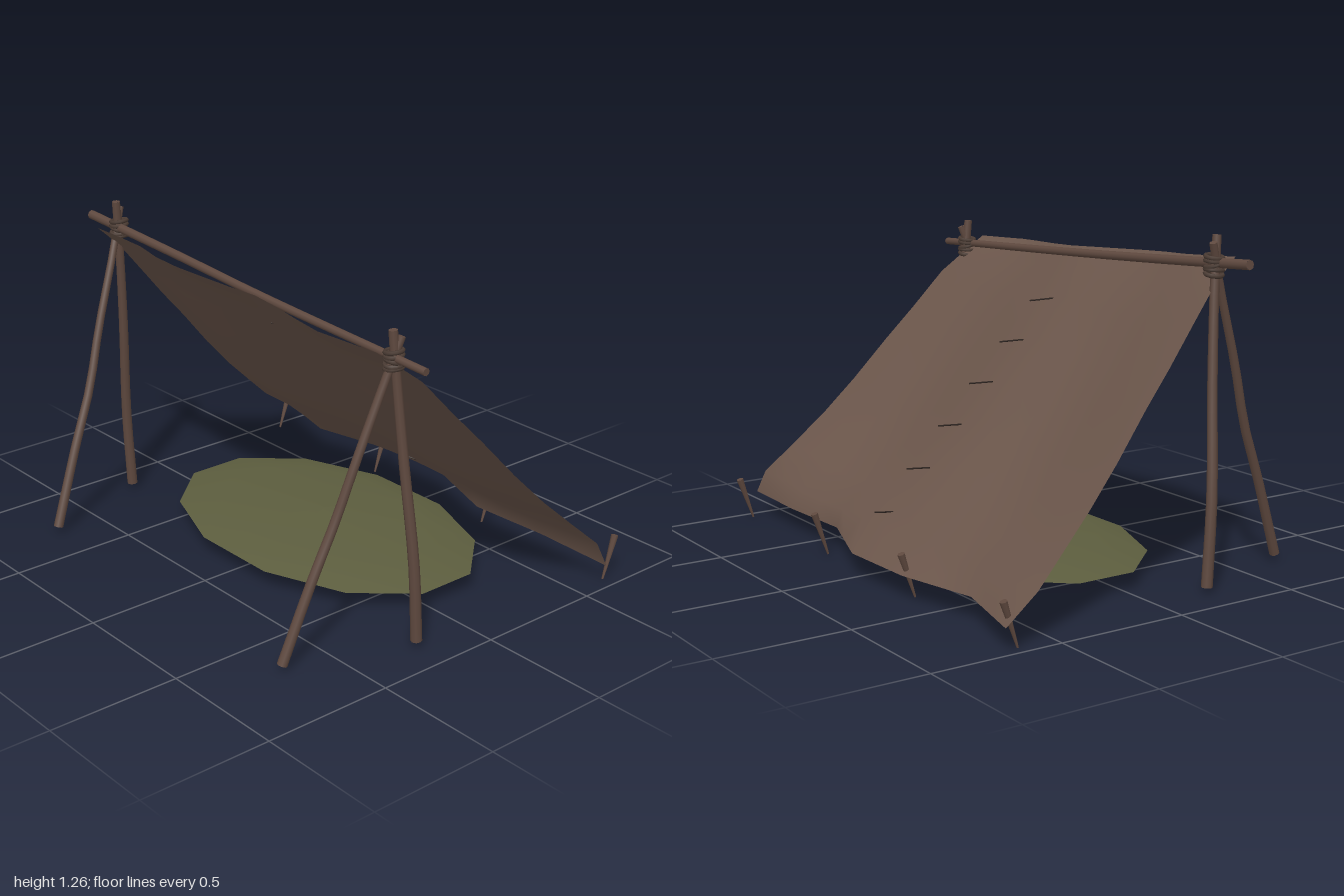
import * as THREE from 'three';

const mat = (name, color, side = THREE.FrontSide) => {
  const m = new THREE.MeshStandardMaterial({ color, side });
  m.name = name;
  return m;
};
const V = (p) => new THREE.Vector3(...p);

export function createModel() {
  const wood = mat('wood', 0x5f493f);
  const cloth = mat('cloth', 0x6a554a, THREE.DoubleSide);
  const rope = mat('rope', 0x4a3b33);
  const thread = mat('thread', 0x2b221e);
  const moss = mat('bedding', 0x5c5d3e);

  const model = new THREE.Group();
  model.name = 'leanToShelter';
  const add = (name, geo, material, parent = model) => {
    const mesh = new THREE.Mesh(geo, material);
    mesh.name = name;
    parent.add(mesh);
    return mesh;
  };

  // Tapered, slightly bent pole with flat end caps
  const pole = (name, points, r0, r1, sides = 8) => {
    const group = new THREE.Group();
    group.name = name;
    model.add(group);
    const curve = new THREE.CatmullRomCurve3(points.map(V));
    const steps = 12;
    const geo = new THREE.TubeGeometry(curve, steps, 1, sides);
    const pos = geo.attributes.position;
    const v = new THREE.Vector3();
    for (let i = 0; i <= steps; i++) {
      const c = curve.getPointAt(i / steps);
      const r = r0 + (r1 - r0) * i / steps;
      for (let j = 0; j <= sides; j++) {
        const k = i * (sides + 1) + j;
        v.fromBufferAttribute(pos, k).sub(c).multiplyScalar(r).add(c);
        pos.setXYZ(k, v.x, v.y, v.z);
      }
    }
    add('shaft', geo, wood, group);
    for (const [t, r, s] of [[0, r0, -1], [1, r1, 1]]) {
      const cap = add('endCap', new THREE.CircleGeometry(r, sides), wood, group);
      cap.position.copy(curve.getPointAt(t));
      cap.quaternion.setFromUnitVectors(V([0, 0, 1]), curve.getTangentAt(t).multiplyScalar(s));
    }
  };

  // Straight rod between two points
  const rod = (name, a, b, ra, rb, sides, material) => {
    const d = V(b).sub(V(a));
    const mesh = add(name, new THREE.CylinderGeometry(rb, ra, d.length(), sides), material);
    mesh.position.copy(V(a).add(V(b)).multiplyScalar(0.5));
    mesh.quaternion.setFromUnitVectors(V([0, 1, 0]), d.normalize());
  };

  // Leg pairs with lashings; the left pair is a little shorter
  for (const [s, k, knotY, label] of [[-1, 1, 1.148, 'right'], [1, 0.928, 1.06, 'left']]) {
    pole(label + 'UprightLeg', [[0.86, 0.02, 0.228], [0.857, 0.34, 0.245], [0.82, 0.75, 0.268],
      [0.797, 1.08, 0.288], [0.79, 1.255, 0.3]].map(([x, y, z]) => [s * x, y * k + 0.02 * (1 - k), z]), 0.021, 0.016);
    pole(label + 'FrontLeg', [[0.695, 0.025, 0.697], [0.717, 0.34, 0.582], [0.733, 0.55, 0.497],
      [0.757, 0.78, 0.425], [0.783, 1.07, 0.325], [0.803, 1.23, 0.273]].map(([x, y, z]) => [s * x, y * k, z]), 0.019, 0.014);
    const lashing = new THREE.Group();
    lashing.name = label + 'Lashing';
    lashing.position.set(s * 0.787, knotY, 0.292);
    model.add(lashing);
    for (let i = 0; i < 5; i++) {
      const ring = add('ropeCoil', new THREE.TorusGeometry(0.031, 0.008, 6, 14), rope, lashing);
      ring.position.y = (i - 2) * 0.015;
      ring.rotation.set(Math.PI / 2 + 0.15 * Math.sin(i * 2.3), 0.18 * Math.cos(i * 1.7), 0);
    }
  }

  // Ridge pole
  pole('ridgePole', [[-0.96, 1.167, 0.303], [-0.4, 1.133, 0.298], [0.1, 1.105, 0.304], [0.95, 1.065, 0.3]], 0.018, 0.014);

  // Cloth sheet: rows of [z, y, half width], with ragged front and back edges
  const frontZ = [0.395, 0.385, 0.38, 0.4, 0.4, 0.385, 0.37, 0.35, 0.36, 0.38, 0.395, 0.38, 0.365];
  const backZ = [-0.72, -0.635, -0.705, -0.715, -0.595, -0.61, -0.6];
  const rows = [[0.39, 1.135, 0.78], [0.29, 1.055, 0.795], [0.185, 0.95, 0.815], [0.06, 0.805, 0.84],
    [-0.06, 0.675, 0.863], [-0.2, 0.517, 0.892], [-0.33, 0.385, 0.918], [-0.46, 0.27, 0.945],
    [-0.575, 0.172, 0.97], [-0.6, 0.09, 1]];
  const cols = 12;
  const last = rows.length - 1;
  const sheet = new THREE.PlaneGeometry(1, 1, cols, last);
  for (let r = 0; r <= last; r++) {
    for (let c = 0; c <= cols; c++) {
      const u = c / cols * 2 - 1;
      let [z, y, w] = rows[r];
      if (r === 0) {
        z = frontZ[c];
        y -= 0.035 * u + 0.006 * (1 - u * u);
      } else if (r === last) {
        const i = Math.floor(c / 2);
        z = c % 2 ? (backZ[i] + backZ[i + 1]) / 2 : backZ[i];
      } else {
        // The cloth sags on both sides of the seam
        const sag = Math.sin(Math.PI * r / last);
        y += sag * (0.03 * Math.cos(u * 6.28) - 0.013) - (r === 1 ? 0.018 * u : 0);
      }
      sheet.attributes.position.setXYZ(r * (cols + 1) + c, u * w, y, z);
    }
  }
  sheet.computeVertexNormals();
  add('clothSheet', sheet, cloth);

  // Seam stitches down the middle of the cloth
  for (let i = 0; i < 6; i++) {
    const z = 0.173 - 0.139 * i;
    const y = 0.947 - 0.146 * i;
    rod('stitch', [0, y, z], [0.09, y - 0.017, z - 0.045], 0.003, 0.003, 5, thread);
  }

  // Ground stakes along the back edge
  for (let i = 0; i < 4; i++) {
    const x = -0.957 + i * 0.635;
    rod('groundStake', [x, 0, -0.645], [x, 0.165, -0.7], 0.004, 0.014, 7, wood);
  }

  // Low oval bed: sloped rim, gently domed top and flat underside
  const bed = new THREE.Group();
  bed.name = 'bed';
  bed.position.set(0, 0.065, -0.085);
  model.add(bed);
  const profile = [[1, 0], [0.68, 0.045], [0, 0.057]].map(([x, y]) => new THREE.Vector2(x, y));
  const top = new THREE.LatheGeometry(profile, 12, Math.PI / 12);
  top.scale(0.713, 1, 0.465);
  add('bedTop', top, moss, bed);
  const base = new THREE.CircleGeometry(1, 12, Math.PI / 12);
  base.rotateX(Math.PI / 2);
  base.scale(0.713, 1, 0.465);
  add('bedUnderside', base, moss, bed);

  return model;
}
